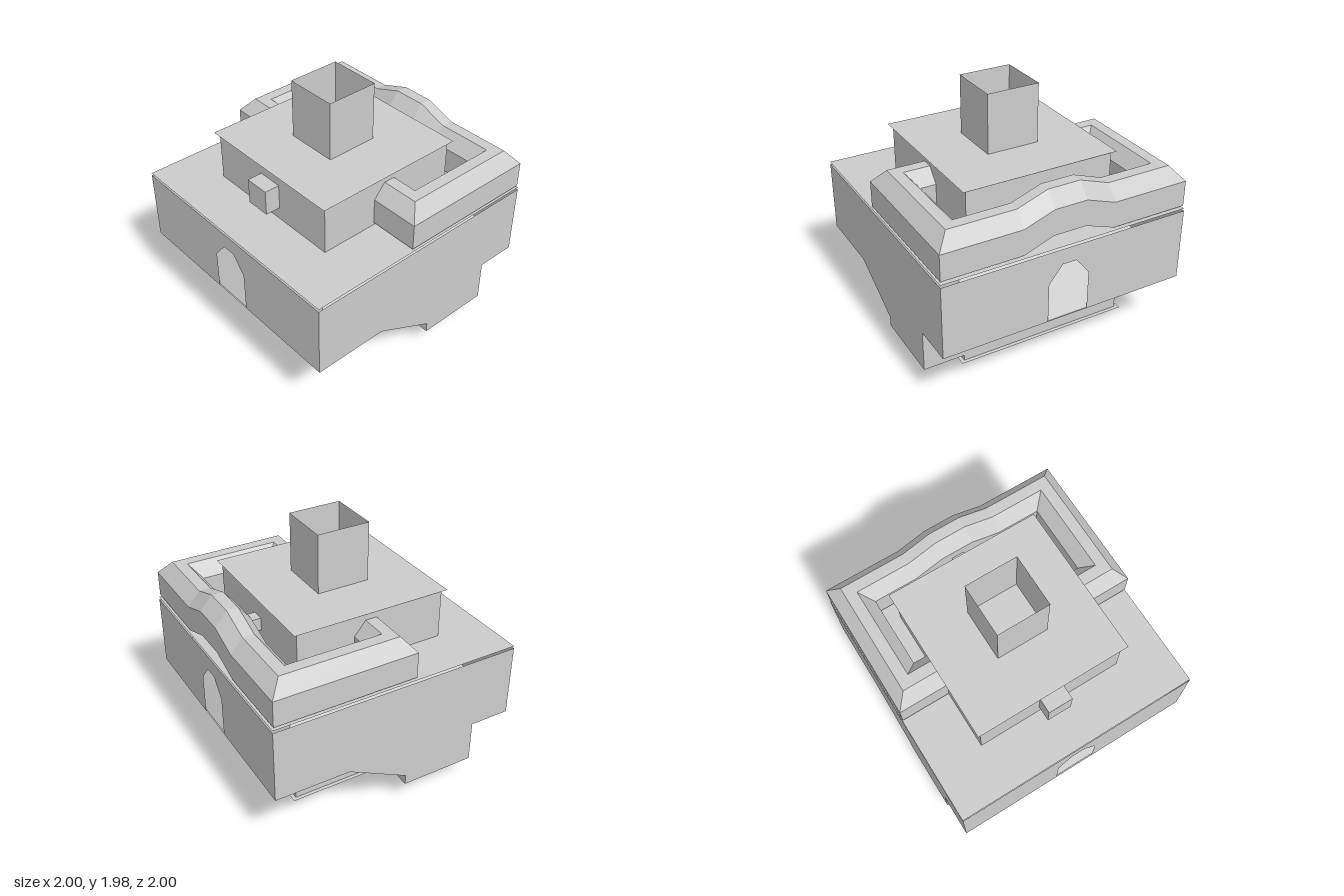
import * as THREE from 'three';

const material = new THREE.MeshStandardMaterial({
  color: 0xcccccc, flatShading: true, side: THREE.DoubleSide,
});

export function createModel() {
  const model = new THREE.Group();

  const add = (name, geometry, x = 0, y = 0, z = 0) => {
    const mesh = new THREE.Mesh(geometry, material);
    mesh.name = name;
    mesh.position.set(x, y, z);
    model.add(mesh);
    return mesh;
  };
  const box = (name, w, y0, y1, d, x = 0, z = 0) =>
    add(name, new THREE.BoxGeometry(w, y1 - y0, d), x, (y0 + y1) / 2, z);
  // Thin horizontal square sheet, facing up or down
  const sheet = (name, half, y, up = 1) =>
    add(name, new THREE.PlaneGeometry(half * 2, half * 2).rotateX(-up * Math.PI / 2), 0, y, 0);
  // Four walls without top or bottom, given half widths at each end
  const walls = (name, halfTop, halfBottom, y0, y1) =>
    add(name, new THREE.CylinderGeometry(halfTop * Math.SQRT2, halfBottom * Math.SQRT2,
      y1 - y0, 4, 1, true).rotateY(Math.PI / 4), 0, (y0 + y1) / 2, 0);

  // Feet
  for (const x of [-0.285, 0.285])
    for (const z of [-0.285, 0.285]) box('foot', 0.28, 0, 0.135, 0.28, x, z);

  // Lower base with an overhanging bottom sheet
  walls('lowerBase', 0.675, 0.675, 0.135, 0.51);
  sheet('lowerBaseBottom', 0.705, 0.135, -1);

  // Wedge-shaped side blocks, one turned half a circle from the other
  const wedge = new THREE.Shape([[0.41, 0.51], [-0.08, 0.26], [-0.08, 0.18], [-0.675, 0.18], [-0.675, 0.51]]
    .map(([z, y]) => new THREE.Vector2(-z, y)));
  const wedgeGeometry = new THREE.ExtrudeGeometry(wedge, { depth: 0.325, bevelEnabled: false });
  wedgeGeometry.rotateY(Math.PI / 2).translate(0.675, 0, 0);
  add('sideBlock', wedgeGeometry);
  add('sideBlock', wedgeGeometry).rotation.y = Math.PI;

  // Main body: front and back walls with arched doorways, plain side walls
  const doorWall = new THREE.Shape([[-1, 0.51], [-0.165, 0.51], [-0.165, 0.83], [-0.055, 0.965],
    [0.055, 0.965], [0.165, 0.83], [0.165, 0.51], [1, 0.51], [1, 1.09], [-1, 1.09]]
    .map(([x, y]) => new THREE.Vector2(x, y)));
  for (const side of [1, -1]) {
    const wall = add('doorWall', new THREE.ShapeGeometry(doorWall), 0, 0, side);
    if (side < 0) wall.rotation.y = Math.PI;
    add('sideWall', new THREE.PlaneGeometry(2, 0.58).rotateY(side * Math.PI / 2), side, 0.8, 0);
  }
  sheet('bodyFloor', 1, 0.51, -1);
  sheet('bodyDeck', 1, 1.11);
  // Sloping inner walls seen through the doorways
  walls('innerRamps', 0.6, 0.99, 0.51, 1.09);

  // Turret, roof sheet, open chimney, and small blocks at front and back
  walls('turret', 0.6, 0.6, 1.09, 1.51);
  sheet('turretRoof', 0.63, 1.51);
  walls('chimney', 0.21, 0.21, 1.51, 1.98);
  box('frontBlock', 0.2, 1.21, 1.41, 0.12, 0, 0.66);
  box('backConnector', 0.1, 1.24, 1.34, 0.16, 0, -0.68);

  // Bevelled rail ring, raised in the middle of its back side
  const profile = [[0, 1.13], [0, 1.335], [0.095, 1.445], [0.185, 1.445], [0.275, 1.335], [0.275, 1.13]];
  // Each station: outer x, outer z, inset direction x and z, lift
  const stations = [
    [-0.995, 0.135, 1, -1, 0], [-0.995, -0.99, 1, 1, 0],
    [-0.37, -0.99, 0, 1, 0], [-0.13, -0.99, 0, 1, 0.085],
    [0.13, -0.99, 0, 1, 0.085], [0.37, -0.99, 0, 1, 0],
    [0.995, -0.99, -1, 1, 0], [0.995, 0.135, -1, -1, 0],
  ];
  const n = stations.length, m = profile.length;
  const positions = [], index = [];
  stations.forEach(([x, z, dx, dz, lift], i) => profile.forEach(([inset, y], j) => {
    positions.push(x + dx * inset, y + lift, z + dz * inset);
    const a = i * m + j, b = i * m + (j + 1) % m;
    const c = ((i + 1) % n) * m + j, d = ((i + 1) % n) * m + (j + 1) % m;
    index.push(a, b, c, b, d, c);
  }));
  const rail = new THREE.BufferGeometry();
  rail.setAttribute('position', new THREE.Float32BufferAttribute(positions, 3));
  rail.setIndex(index);
  const flatRail = rail.toNonIndexed();
  flatRail.computeVertexNormals();
  add('railRing', flatRail);

  return model;
}
